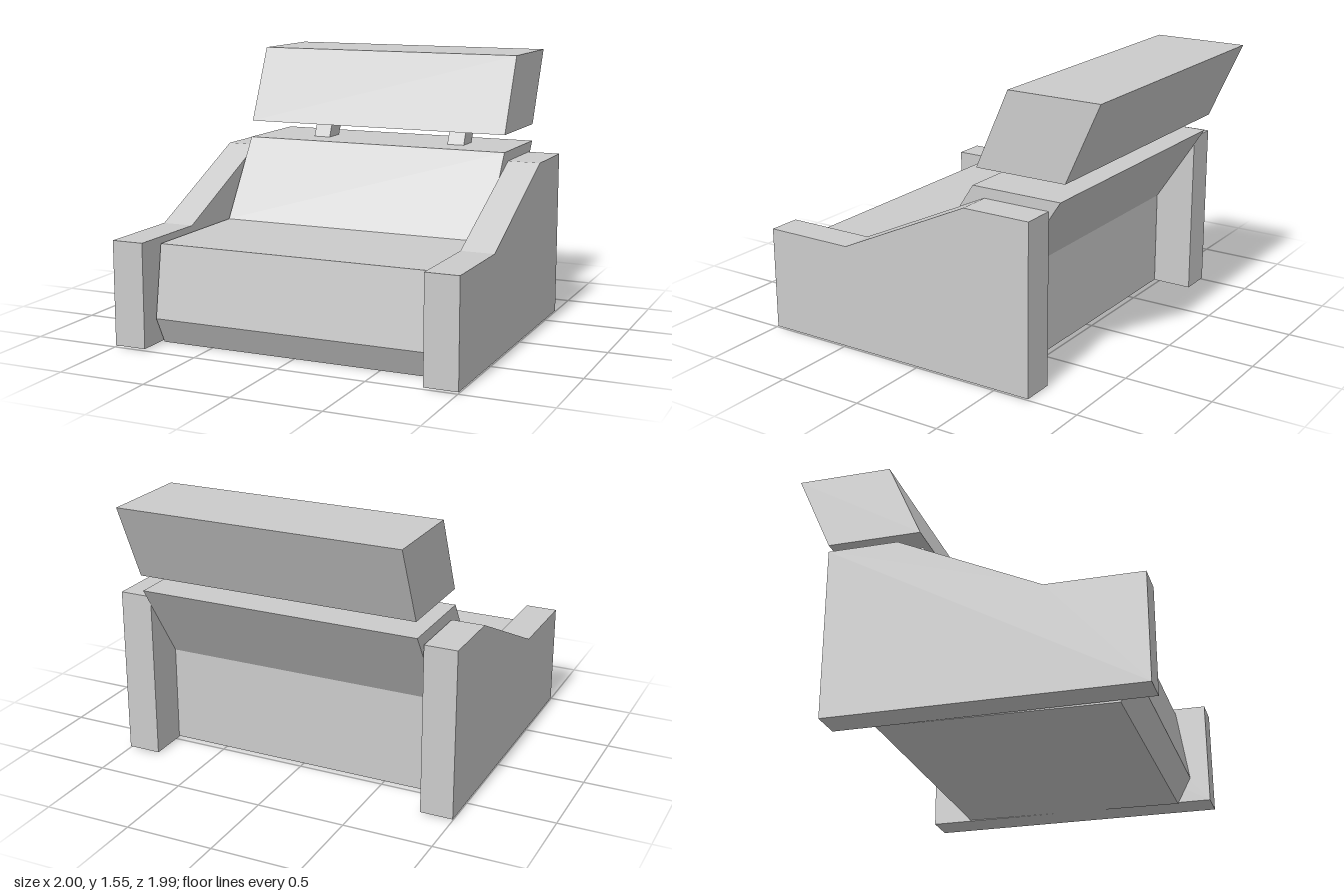
import * as THREE from 'three';

const material = new THREE.MeshStandardMaterial({ color: 0xcccccc, flatShading: true });

// Side profile given as [z, y] points, extruded across x from x0 to x1
function slab(name, profile, x0, x1) {
  const shape = new THREE.Shape(profile.map(([z, y]) => new THREE.Vector2(z, y)));
  const geometry = new THREE.ExtrudeGeometry(shape, { depth: x1 - x0, bevelEnabled: false });
  geometry.rotateY(-Math.PI / 2).translate(x1, 0, 0);
  const mesh = new THREE.Mesh(geometry, material);
  mesh.name = name;
  return mesh;
}

export function createModel() {
  const chair = new THREE.Group();
  chair.name = 'armchair';

  // Armrests: low at the front, sloping up to the back
  const arm = [[0.99, 0.01], [0.99, 0.6], [0.465, 0.6], [-0.32, 0.965], [-0.71, 0.965], [-0.71, 0.01]];
  chair.add(slab('rightArm', arm, -1, -0.815));
  chair.add(slab('leftArm', arm, 0.812, 1));

  // Seat with an undercut front edge
  const seat = [[0.8, 0.003], [0.88, 0.155], [0.815, 0.565], [-0.48, 0.565], [-0.48, 0.155], [-0.48, 0.015]];
  chair.add(slab('seat', seat, -0.806, 0.812));

  // Reclined backrest
  const back = [[0.05, 0.565], [-0.247, 1.023], [-0.778, 1.023], [-0.48, 0.565]];
  chair.add(slab('backrest', back, -0.806, 0.812));

  // Slanted posts carrying the headrest
  const post = [[-0.425, 1.02], [-0.47, 1.122], [-0.61, 1.122], [-0.56, 1.02]];
  for (const x of [-0.465, 0.402]) chair.add(slab('headrestPost', post, x, x + 0.102));

  // Headrest
  const head = [[-0.267, 1.12], [-0.46, 1.555], [-0.995, 1.555], [-0.8, 1.12]];
  chair.add(slab('headrest', head, -0.807, 0.806));

  return chair;
}
